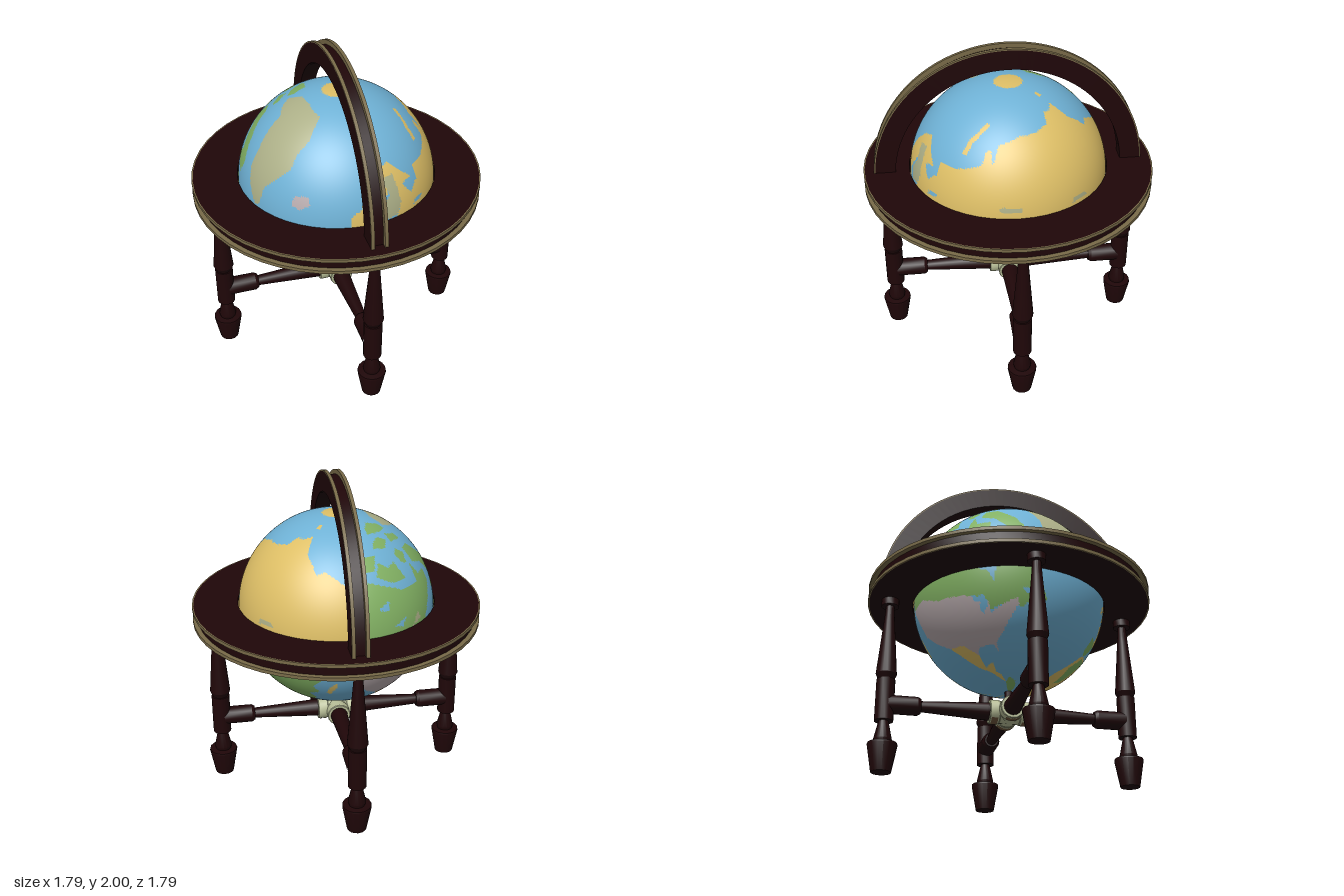
import * as THREE from 'three';
import { toCreasedNormals } from 'three/addons/utils/BufferGeometryUtils.js';

const mat = (name, color) => {
  const m = new THREE.MeshStandardMaterial({ color });
  m.name = name;
  return m;
};
const sea = mat('sea blue', 0x6fb2d6);
const yellow = mat('land yellow', 0xdebf66);
const green = mat('land green', 0x82b163);
const khaki = mat('land khaki', 0xadb088);
const mauve = mat('land mauve', 0xb9acae);
const brown = mat('land brown', 0x6f563c);
const wood = mat('dark wood', 0x1f0608);
const trim = mat('aged gold trim', 0x786a48);
const hubPaint = mat('pale hub', 0xb9bf98);

function add(parent, name, geometry, material) {
  const mesh = new THREE.Mesh(geometry, material);
  mesh.name = name;
  parent.add(mesh);
  return mesh;
}

// Lathe from [radius, height] pairs with crisp edges
function turned(points, sides, arc = Math.PI * 2, start = 0) {
  const pts = points.map(([r, y]) => new THREE.Vector2(r, y));
  return toCreasedNormals(new THREE.LatheGeometry(pts, sides, start, arc), 0.5);
}

// Map regions as longitude, latitude pairs; later regions cover earlier ones
const regions = [];
const paint = (material, p) => regions.push({ material, p });

// Northern and eastern Asia
paint(yellow, [28, 60, 31, 63, 29, 69, 31, 70, 40, 67, 33, 66.5, 38, 64, 44, 66, 44, 68.5, 54, 68.5, 60, 69, 68, 70, 69, 72,
  72, 72.5, 74, 70, 76, 73, 82, 73.5, 90, 74.2, 100, 74.3, 112, 75, 117, 76.4, 123, 76.3, 131, 77, 134, 74.5, 140, 73,
  143, 71.8, 148, 72.3, 156, 71, 165, 69.5, 165, 60, 162, 56, 156, 51, 156, 57, 161, 60, 155, 59, 147, 59, 143, 55,
  147, 53, 146, 48, 131, 43, 110, 43, 80, 42, 50, 44, 48, 42, 40, 43.5, 38, 47, 30, 50, 24, 58]);
paint(mauve, [47, 49, 51, 51.5, 61, 51, 61, 54, 70, 55, 77, 54, 83, 51, 87, 49, 86, 43, 86, 38, 80, 35, 74, 35, 66, 37, 54, 38, 53, 45, 50, 47]);
paint(mauve, [85, 47, 88, 51, 98, 53.5, 110, 53, 121, 55, 131, 54, 134, 50, 130, 46, 118, 42, 108, 40, 98, 39, 88, 40]);
paint(green, [84, 38, 90, 43.5, 96, 41, 105, 41.5, 114, 43.5, 124, 45, 131, 47.5, 138, 52.5, 145, 52, 147, 46, 142, 42.5, 145, 38.5,
  138, 36.5, 141, 32, 137, 26, 126, 22.5, 112, 21, 102, 21.5, 99, 25, 97, 29, 86, 29.5, 81, 32]);
// Southern Asia
paint(mauve, [74, 36, 81, 33, 86, 29, 96, 28.5, 92, 22.5, 87, 21, 80, 15, 80, 11, 77.5, 8, 73, 17, 72, 21, 69, 23, 73, 30]);
paint(brown, [92, 22, 96, 28.5, 101, 23, 108, 21.5, 106, 18, 109, 12, 105, 9, 101, 13, 98, 8, 98, 16, 94, 17]);
paint(yellow, [99, 12, 101, 12, 104, 1.5, 101, 3]);
paint(green, [61, 35, 66, 37, 74, 36, 73, 30, 69, 23, 66, 25, 61, 25]);
paint(yellow, [45, 39, 54, 37.5, 61, 36, 61, 25, 57, 26.5, 50, 30, 47, 31]);
paint(yellow, [35, 31, 42, 37, 47, 31, 50, 28, 52, 24, 56, 25, 59, 22, 52, 16, 44, 12.7, 39, 21, 35, 28]);
paint(green, [27, 37, 27, 40.5, 35, 42, 42, 41.5, 45, 39, 42, 37, 36, 36]);
// Inland waters
paint(sea, [47, 45, 50, 47, 53, 46.5, 51, 44, 54, 41, 53, 37, 50, 37.5, 49, 41]);
paint(sea, [58.5, 44, 61, 46.5, 61, 44]);
paint(sea, [39, 60.7, 45, 61.2, 46, 62, 40, 61.7]);
paint(khaki, [78, 61.6, 88, 61.4, 89, 62.3, 79, 62.6]);
paint(khaki, [114, 60.7, 124, 61, 122, 62, 115, 61.8]);
// Europe
paint(yellow, [5, 58, 5, 62, 10, 64, 15, 68, 20, 70, 28, 71, 31, 70, 28, 68.5, 24, 66, 21, 64, 17, 61.5, 18.5, 60, 16, 56.5, 13, 55.5, 11, 59]);
paint(khaki, [22, 60, 28, 60.5, 31, 63, 29, 69, 22, 68.5, 25, 65.5, 21, 63]);
paint(green, [-9, 37, -9, 43.3, -1.5, 43.5, 3, 42.3, 0, 39, -2, 36.8, -5.5, 36]);
paint(yellow, [-1.5, 43.5, -1, 46, -4.5, 48.5, 2, 51, 7, 49, 7, 44, 3, 42.5]);
paint(mauve, [2, 51, 8, 54, 9, 57.5, 11, 54, 19, 54.5, 22, 57.5, 24, 59, 28, 60, 32, 54, 40, 49, 38, 46.5, 30, 46, 28, 44, 14, 46, 7, 47]);
paint(khaki, [24, 52, 34, 52, 39, 49, 34, 47, 24, 48]);
paint(yellow, [7, 47, 13, 46.5, 12.5, 44, 18, 40, 16, 38, 10, 43.5, 7, 44]);
paint(green, [14, 46, 28, 45, 28, 42, 24, 40, 23, 36.5, 19, 41]);
paint(yellow, [-5, 50, 1, 51.5, 0, 53.5, -2, 57.5, -5, 58.5, -5, 55, -3, 54]);
paint(yellow, [-10, 52, -6, 52.5, -6, 55, -9, 54]);
paint(mauve, [-23, 64, -22, 66, -15, 66.3, -14, 64.7, -19, 63.4]);
// Africa
paint(yellow, [-17, 15, -16, 22, -10, 30, -6, 35.5, 10, 37, 11, 33, 20, 31, 30, 31.3, 34, 30, 37, 21, 43, 11.5, 51, 11.5, 42, -1, 9, -1, 9, 4.5, -8, 4.5]);
paint(green, [-8, 28, -2, 35, 9, 36.5, 9, 31, 12, 23, 4, 19]);
paint(mauve, [25, 22, 25, 31, 34, 31, 36, 22]);
// Arctic islands and eastern islands
paint(yellow, [55, 71, 58, 71, 60, 73, 68, 75.5, 65, 75.7, 57, 73.3]);
paint(yellow, [128, 78, 134, 78, 133, 78.7, 128, 78.6]);
paint(yellow, [149, 38, 151, 42, 155, 45, 155, 42, 151, 37]);
paint(khaki, [120, 18, 122, 18, 126, 7, 122, 8]);
// Greenland
paint(khaki, [-45, 60, -51, 64, -54, 67, -54, 70, -59, 75.5, -70, 76.2, -78, 77, -70, 78.4, -45, 78.5, -20, 77.6, -21, 74.5, -26, 72.5,
  -27, 70, -33, 68, -40, 65, -42, 61]);
// North America
paint(green, [-140, 54, -140, 69.5, -128, 70.5, -115, 69, -108, 68, -95, 68, -94, 71.5, -90, 69, -82, 69, -82, 67, -87, 64.5, -94, 60.5,
  -92, 57, -82, 55, -79, 51.5, -79, 54.5, -77, 57, -78, 62, -70, 61, -65, 58.5, -56, 53, -60, 50, -66, 50, -60, 46.5, -66, 44,
  -70, 46, -75, 45, -83, 43, -83, 46, -90, 48.5, -123, 49]);
paint(green, [-62, 66, -65, 63, -78, 64.5, -72, 67, -80, 70, -89, 71, -89, 73.5, -80, 73.5, -68, 70]);
paint(green, [-122, 71, -112, 69.5, -103, 69.5, -106, 72.5, -112, 72, -118, 73]);
paint(green, [-128, 72, -122, 72, -118, 74, -126, 74.2]);
paint(green, [-100, 72, -96, 71.5, -92, 73, -97, 74, -101, 73.4]);
paint(green, [-116, 75, -106, 74.6, -98, 75.5, -104, 76.3, -112, 75.8]);
paint(green, [-95, 75, -81, 74.6, -81, 75.5, -92, 76.2]);
paint(green, [-112, 77, -100, 76.8, -84, 76.7, -83, 77.6, -96, 78.4, -108, 77.8]);
paint(khaki, [-105, 60, -101, 63, -99, 61]);
paint(sea, [-125, 65.5, -118, 67, -119, 65]);
paint(sea, [-117, 61.5, -109, 63, -112, 61]);
paint(green, [-59, 47.5, -56, 51.5, -53, 47]);
paint(mauve, [-138, 53, -124, 53, -112, 50, -95, 49, -83, 46, -82, 42, -75, 45, -68, 47, -67, 45, -70, 42, -76, 35, -81, 31, -80, 25.5,
  -83, 30, -94, 29.5, -97, 26, -106, 32, -117, 32.5, -126, 37, -133, 42, -134, 47]);
paint(sea, [-92, 47, -85, 48.5, -83, 45, -86, 42, -88, 44, -87, 46]);
paint(yellow, [-117, 32.5, -106, 32, -97, 26, -97, 19, -90, 21, -87, 21, -88, 16, -83, 14, -78, 8, -86, 11, -95, 16, -105, 20]);
paint(green, [-78, 8, -72, 12, -60, 9, -50, 2, -50, -1, -80, -1]);

function inside(p, x, y) {
  let hit = false;
  for (let i = 0, j = p.length - 2; i < p.length; j = i, i += 2) {
    if ((p[i + 1] > y) !== (p[j + 1] > y) &&
      x < (p[j] - p[i]) * (y - p[i + 1]) / (p[j + 1] - p[i + 1]) + p[i]) hit = !hit;
  }
  return hit;
}

// The map is stretched over the whole ball: equator at the bottom, arctic on top
function landAt(v) {
  const theta = THREE.MathUtils.radToDeg(Math.atan2(v.x, v.z));
  const phi = THREE.MathUtils.radToDeg(Math.asin(v.y / v.length()));
  const lon = (theta + 15) / 1.2;
  const lat = THREE.MathUtils.radToDeg(Math.atan(Math.sinh((phi + 86.5) / 68.75)));
  if (lat > 80.1) return yellow;
  let found = sea;
  for (const r of regions) if (inside(r.p, lon, lat)) found = r.material;
  return found;
}

// Ball whose faces are sorted into one geometry group per map colour
function paintedBall(radius) {
  const geo = new THREE.SphereGeometry(radius, 288, 144);
  const materials = [sea, yellow, green, khaki, mauve, brown];
  const buckets = materials.map(() => []);
  const pos = geo.attributes.position, idx = geo.index.array;
  const c = new THREE.Vector3(), q = new THREE.Vector3();
  for (let i = 0; i < idx.length; i += 3) {
    c.set(0, 0, 0);
    for (let k = 0; k < 3; k++) c.add(q.fromBufferAttribute(pos, idx[i + k]));
    buckets[materials.indexOf(landAt(c))].push(idx[i], idx[i + 1], idx[i + 2]);
  }
  geo.setIndex(buckets.flat());
  geo.clearGroups();
  let start = 0;
  buckets.forEach((b, m) => { geo.addGroup(start, b.length, m); start += b.length; });
  return { geo, materials };
}

// Grooved hoop with a gold band along both outer lips
function hoop(name, rIn, rOut, h, arc) {
  const g = new THREE.Group();
  g.name = name;
  const groove = rOut - 0.025, lip = h - 0.018;
  add(g, name + 'Body', turned([[rIn, -h], [rOut, -h], [rOut, -lip], [groove, -lip], [groove, lip],
    [rOut, lip], [rOut, h], [rIn, h], [rIn, -h]], 48, arc), wood);
  for (const s of [-1, 1]) {
    const a = s * (h - 0.0095) - 0.0105, b = a + 0.021, r = rOut + 0.004;
    add(g, name + 'Trim', turned([[groove, a], [r, a], [r, b], [rOut - 0.004, b]].map(([x, y]) =>
      [s > 0 ? x : x === groove ? rOut - 0.004 : x === r ? r : groove, y]), 48, arc), trim);
  }
  return g;
}

export function createModel() {
  const model = new THREE.Group();
  model.name = 'floorGlobe';

  // Globe ball
  const ball = paintedBall(0.61);
  add(model, 'globe', ball.geo, ball.materials).position.y = 1.165;

  // Horizon ring and upright half arch
  const ring = hoop('horizonRing', 0.615, 0.893, 0.05, Math.PI * 2);
  ring.position.y = 1.16;
  const arch = hoop('meridianArch', 0.7, 0.828, 0.05, Math.PI);
  arch.rotation.z = Math.PI / 2;
  arch.position.y = 1.17;
  model.add(ring, arch);

  // Four turned legs, each with a stretcher to the hub
  const legGeo = turned([[0, 0], [0.06, 0], [0.09, 0.165], [0.088, 0.175], [0.05, 0.178], [0.055, 0.2], [0.03, 0.312], [0.057, 0.312],
    [0.057, 0.575], [0.048, 0.575], [0.064, 0.61], [0.035, 0.95], [0.026, 1.065], [0.055, 1.065], [0.055, 1.112], [0, 1.112]], 16);
  const stretcherGeo = turned([[0.055, 0.1], [0.055, 0.14], [0.033, 0.54], [0.045, 0.54], [0.057, 0.56], [0.057, 0.74]], 16);
  const hubGeo = turned([[0, 0], [0.07, 0], [0.07, 0.06], [0.074, 0.065], [0.074, 0.122], [0.07, 0.125], [0, 0.125]], 16);
  // Worn paint on the underside of each hub arm
  const wearGeo = turned([[0.076, 0.075], [0.076, 0.115]], 5, 1.3, -0.5);
  for (let i = 0; i < 4; i++) {
    const side = new THREE.Group();
    side.name = 'legAssembly';
    side.rotation.y = i * Math.PI / 2;
    add(side, 'leg', legGeo, wood).position.z = 0.757;
    for (const [name, geo, m] of [['stretcher', stretcherGeo, wood], ['hubArm', hubGeo, hubPaint], ['hubWear', wearGeo, brown]]) {
      const part = add(side, name, geo, m);
      part.rotation.x = Math.PI / 2;
      part.position.y = 0.42;
    }
    model.add(side);
  }

  // Pivot between hub and ball
  add(model, 'pivot', new THREE.CylinderGeometry(0.025, 0.025, 0.12, 12), wood).position.y = 0.52;
  return model;
}
